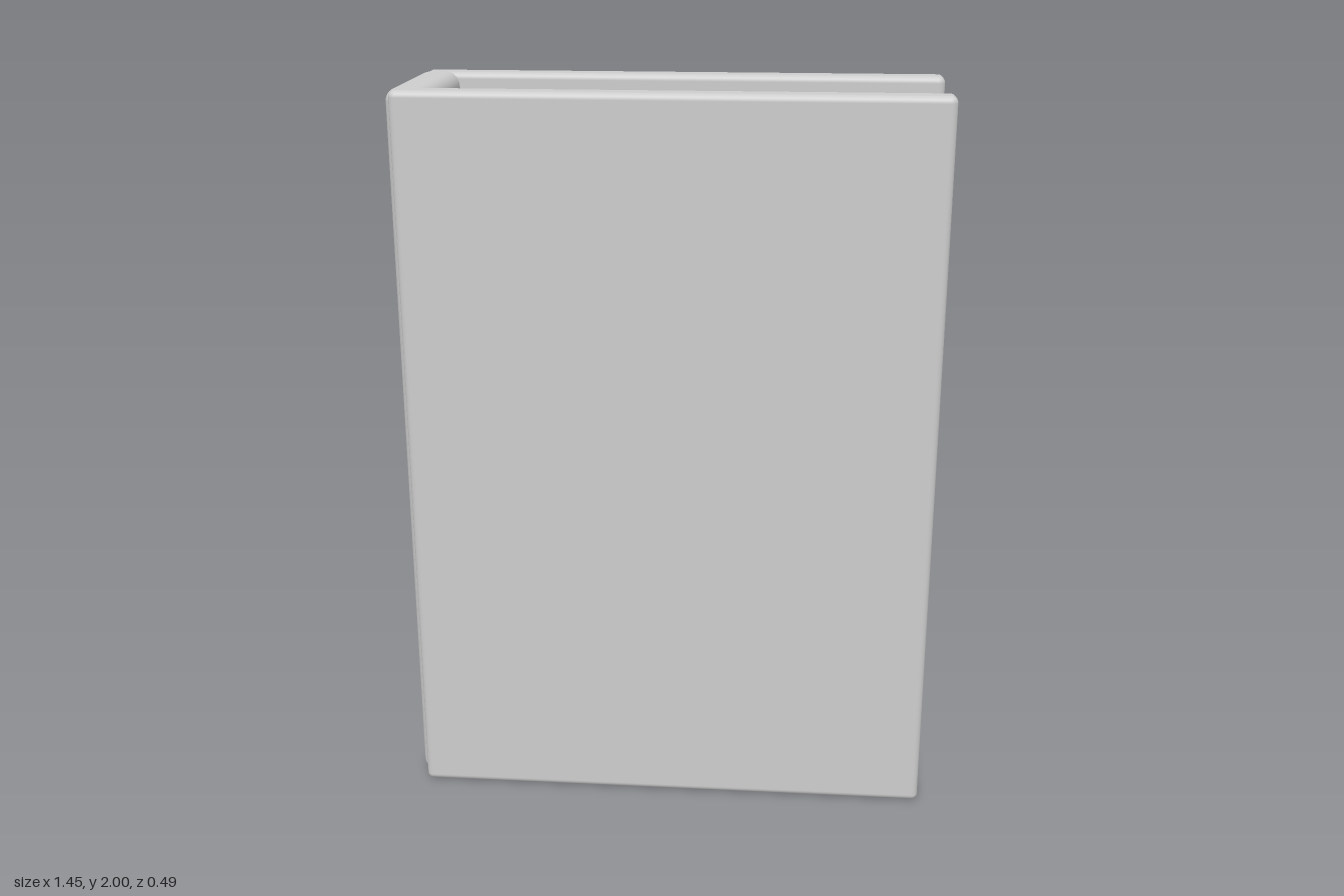
import * as THREE from 'three';
import { RoundedBoxGeometry } from 'three/addons/geometries/RoundedBoxGeometry.js';

export function createModel() {
  const book = new THREE.Group();
  book.name = 'book';
  const grey = new THREE.MeshStandardMaterial({ color: 0xcccccc });
  grey.name = 'plain grey';

  // Rounded block given by its extents on each axis
  function block(name, [x0, x1], [y0, y1], [z0, z1], radius) {
    const geometry = new RoundedBoxGeometry(x1 - x0, y1 - y0, z1 - z0, 4, radius);
    const mesh = new THREE.Mesh(geometry, grey);
    mesh.position.set((x0 + x1) / 2, (y0 + y1) / 2, (z0 + z1) / 2);
    mesh.name = name;
    book.add(mesh);
  }

  // Hard covers
  block('frontCover', [-0.708, 0.725], [0, 2], [0.165, 0.245], 0.018);
  block('backCover', [-0.708, 0.725], [0, 2], [-0.245, -0.165], 0.018);

  // Spine, tucked between the covers
  block('spine', [-0.728, -0.608], [0, 2], [-0.21, 0.21], 0.035);

  // Page block, set back from the cover edges
  block('pageBlock', [-0.63, 0.692], [0.09, 1.918], [-0.16, 0.16], 0.012);

  // Thin sheet edges standing proud of the fore-edge
  const sheets = new THREE.Group();
  sheets.name = 'sheetEdges';
  const sheetGeometry = new THREE.BoxGeometry(0.02, 1.805, 0.009);
  const count = 12;
  for (let i = 0; i < count; i++) {
    const sheet = new THREE.Mesh(sheetGeometry, grey);
    sheet.name = 'sheetEdge';
    sheet.position.set(0.686, 1.004, -0.138 + (0.276 * i) / (count - 1));
    sheets.add(sheet);
  }
  book.add(sheets);

  return book;
}
